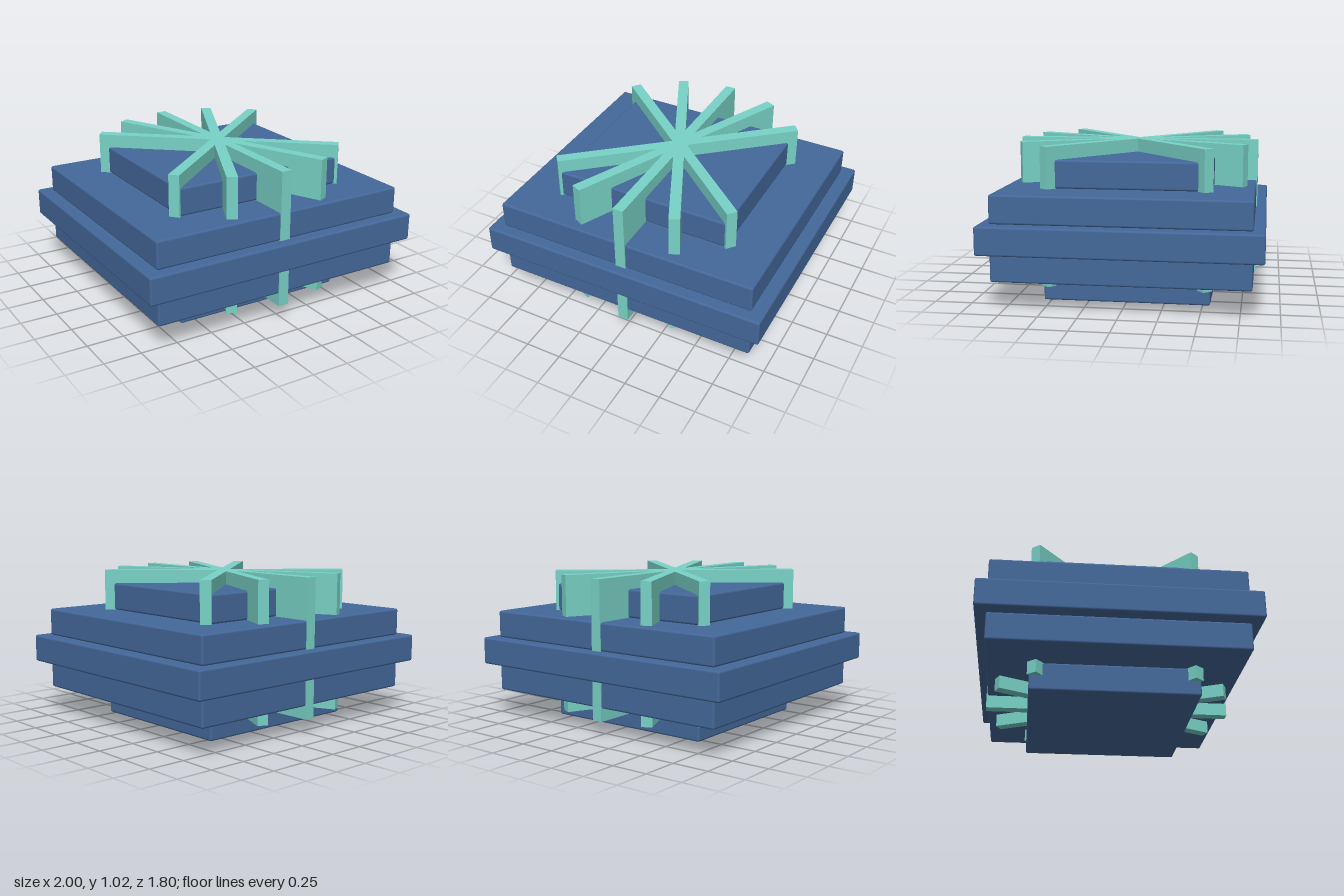
import * as THREE from 'three';
import { RoundedBoxGeometry } from 'three/addons/geometries/RoundedBoxGeometry.js';

export function createModel() {
  const model = new THREE.Group();
  model.name = 'tieredBlock';

  const slabBlue = new THREE.MeshStandardMaterial({ color: 0x44689a });
  slabBlue.name = 'slab blue';
  const finTeal = new THREE.MeshStandardMaterial({ color: 0x78d2c6 });
  finTeal.name = 'fin teal';

  // Stacked slabs, bottom to top, with softly bevelled edges
  const tierHeight = 0.187;
  const tiers = [
    ['bottomSlab', 1.22, 1.1],
    ['lowerSlab', 1.83, 1.65],
    ['middleSlab', 2.0, 1.796],
    ['upperSlab', 1.83, 1.65],
    ['topSlab', 1.22, 1.1],
  ];
  tiers.forEach(([name, width, depth], i) => {
    const slab = new THREE.Mesh(new RoundedBoxGeometry(width, tierHeight, depth, 2, 0.014), slabBlue);
    slab.name = name;
    slab.position.y = tierHeight * (i + 0.5);
    model.add(slab);
  });

  // Upright planks crossing at the centre, fanned out in 25 degree steps
  const fins = new THREE.Group();
  fins.name = 'fins';
  const finGeometry = new THREE.BoxGeometry(0.072, 0.925, 1.664);
  for (let i = -2; i <= 2; i++) {
    const fin = new THREE.Mesh(finGeometry, finTeal);
    fin.name = `fin${i + 3}`;
    fin.position.y = 0.5625;
    fin.rotation.y = THREE.MathUtils.degToRad(25 * i);
    fins.add(fin);
  }
  model.add(fins);

  return model;
}
